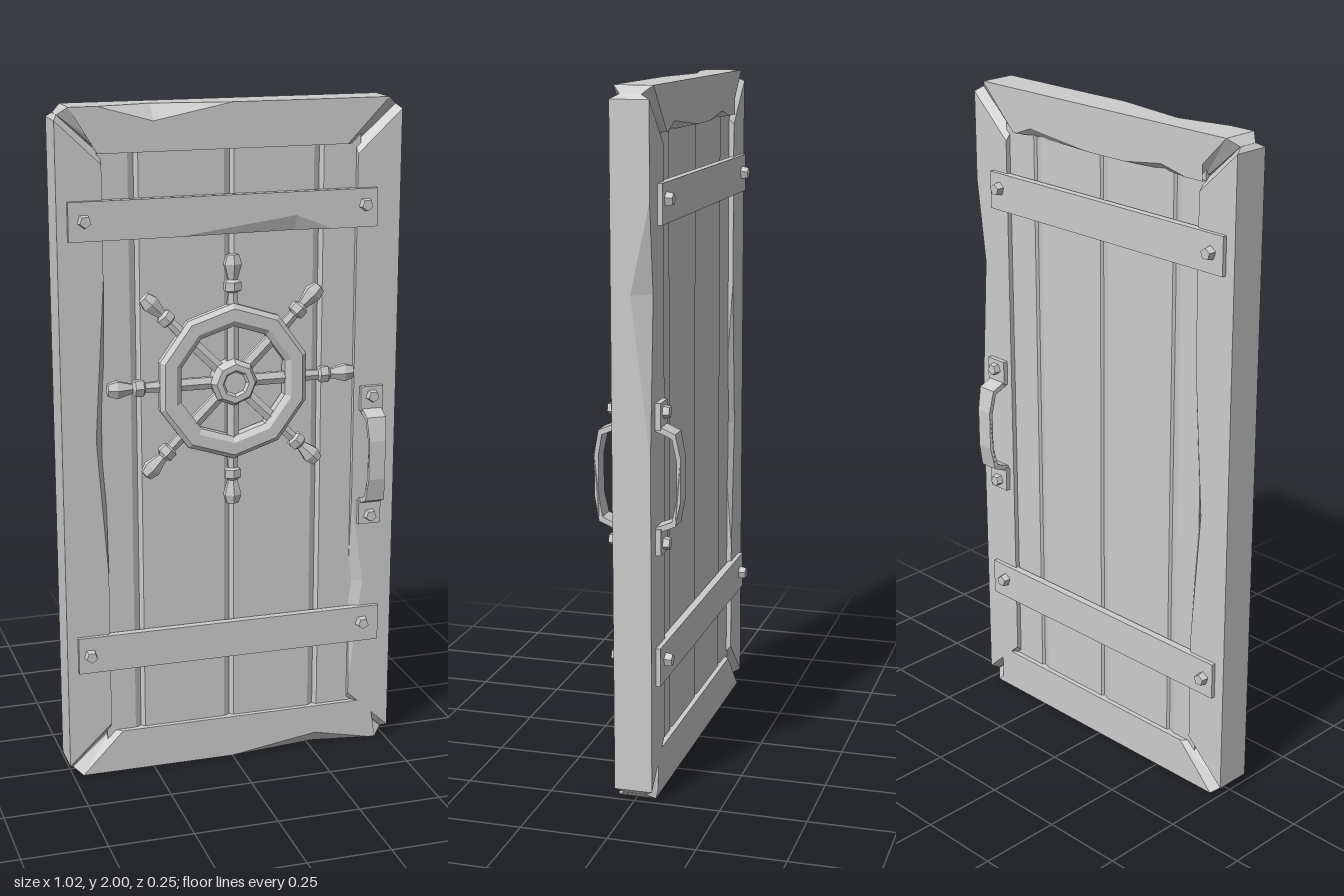
import * as THREE from 'three';

const paint = new THREE.MeshStandardMaterial({ color: 0xcccccc, flatShading: true });
paint.name = 'plain grey';

function part(name, geometry, parent, x = 0, y = 0, z = 0) {
  const mesh = new THREE.Mesh(geometry, paint);
  mesh.name = name;
  mesh.position.set(x, y, z);
  parent.add(mesh);
  return mesh;
}

// Beam along x: outer edge at y = 0, inner edge at y = -w, depth z = -d..d.
// end: where the faces stop (outer, inner) and where the bevelled tip stops.
// chips: [corner, start, middle, end, cut on previous face, cut on next face];
// corners: 0 outer front, 1 inner front, 2 inner back, 3 outer back.
function beam(w, d, end, chips = []) {
  const ring = (u, drop, dz) => {
    const corners = [[-drop, dz], [-w, dz], [-w, -dz], [-drop, -dz]];
    const out = [];
    corners.forEach((c, k) => {
      const slide = (to, cut) => {
        const len = Math.hypot(to[0] - c[0], to[1] - c[1]);
        const t = cut / len;
        const x = typeof u === 'number' ? u : (k === 0 || k === 3 ? u[0] : u[1]);
        return [x, c[0] + (to[0] - c[0]) * t, c[1] + (to[1] - c[1]) * t];
      };
      let a = 0, b = 0;
      if (typeof u === 'number') {
        for (const [corner, s, m, e, ca, cb] of chips) {
          if (corner !== k || u <= s || u >= e) continue;
          const f = u < m ? (u - s) / (m - s) : (e - u) / (e - m);
          a += ca * f;
          b += cb * f;
        }
      }
      out.push(slide(corners[(k + 3) % 4], a), slide(corners[(k + 1) % 4], b));
    });
    return out;
  };
  const { face, tip, drop, tipZ } = end;
  const neg = (p) => p.map((v) => -v);
  const cuts = [...new Set(chips.flatMap((c) => c.slice(1, 4)))].sort((a, b) => a - b);
  const rings = [
    ring(neg(tip), drop, tipZ), ring(neg(face), 0, d),
    ...cuts.map((u) => ring(u, 0, d)),
    ring(face, 0, d), ring(tip, drop, tipZ),
  ];
  const pos = [];
  const tri = (...pts) => pts.forEach((p) => pos.push(...p));
  for (let i = 0; i + 1 < rings.length; i++) {
    for (let j = 0; j < 8; j++) {
      const k = (j + 1) % 8, p = rings[i], q = rings[i + 1];
      tri(p[j], p[k], q[k]);
      tri(p[j], q[k], q[j]);
    }
  }
  const first = rings[0], last = rings[rings.length - 1];
  for (const [j, k] of [[2, 4], [4, 6]]) {
    tri(last[0], last[j], last[k]);
    tri(first[0], first[k], first[j]);
  }
  const g = new THREE.BufferGeometry();
  g.setAttribute('position', new THREE.Float32BufferAttribute(pos, 3));
  g.computeVertexNormals();
  return g;
}

function addFrame(door) {
  const rail = { face: [0.47, 0.345], tip: [0.497, 0.375], drop: 0.022, tipZ: 0.03 };
  const stile = { face: [0.965, 0.84], tip: [0.978, 0.868], drop: 0.012, tipZ: 0.03 };
  part('topRail', beam(0.13, 0.055, rail, [
    [0, -0.39, -0.23, 0, 0.035, 0.045],
    [2, 0.03, 0.27, 0.335, 0.02, 0.025],
    [2, -0.33, -0.24, -0.1, 0.02, 0.02],
  ]), door, 0, 2, 0);
  part('bottomRail', beam(0.13, 0.055, rail, [
    [0, -0.45, -0.27, 0, 0.03, 0.04],
  ]), door).rotation.z = Math.PI;
  part('leftStile', beam(0.133, 0.055, stile, [
    [3, -0.7, -0.45, 0, 0.03, 0.055],
    [1, 0.2, 0.47, 0.8, 0.04, 0.02],
  ]), door, 0.51, 1, 0).rotation.z = -Math.PI / 2;
  part('rightStile', beam(0.13, 0.055, stile, [
    [1, -0.37, 0.05, 0.52, 0.03, 0.03],
    [2, -0.5, -0.1, 0.35, 0.03, 0.03],
  ]), door, -0.51, 1, 0).rotation.z = Math.PI / 2;
}

// Plank panel: one cross-section with shallow grooves, extruded upwards
function addPlanks(door) {
  const seams = [-0.28, 0, 0.27], d = 0.04;
  const s = new THREE.Shape();
  s.moveTo(-0.39, -d);
  for (const x of seams) {
    s.lineTo(x - 0.022, -d);
    s.lineTo(x - 0.003, -d + 0.01);
    s.lineTo(x + 0.008, -d);
  }
  s.lineTo(0.39, -d);
  s.lineTo(0.39, d);
  for (const x of [...seams].reverse()) {
    s.lineTo(x + 0.005, d);
    s.lineTo(x, d - 0.008);
    s.lineTo(x - 0.025, d);
  }
  s.lineTo(-0.39, d);
  const g = new THREE.ExtrudeGeometry(s, { depth: 1.8, bevelEnabled: false });
  g.rotateX(-Math.PI / 2);
  part('planks', g, door, 0, 0.1, 0);
}

function bolt(parent, x, y, z, side) {
  const g = new THREE.CylinderGeometry(0.017, 0.021, 0.024, 5);
  g.rotateX(side * Math.PI / 2);
  part('bolt', g, parent, x, y, z * side);
}

// Cross bars with bolts on both faces
function addBars(door) {
  const bars = [
    { y: 1.742, x0: -0.48, x1: 0.435, bolts: [[-0.435, 1.688], [0.397, 1.696]] },
    { y: 0.449, x0: -0.478, x1: 0.466, bolts: [[-0.443, 0.393], [0.412, 0.4]] },
  ];
  bars.forEach(({ y, x0, x1, bolts }, i) => {
    const h = (x1 - x0) / 2;
    const end = { face: [h, h], tip: [h, h], drop: 0, tipZ: 0.0115 };
    for (const side of [1, -1]) {
      const chips = i === 0 && side === 1 ? [[1, -0.14, 0.21, 0.32, 0.045, 0.015]] : [];
      part('crossBar', beam(0.112, 0.0115, end, chips), door, (x0 + x1) / 2, y, 0.0565 * side);
      for (const [bx, by] of bolts) bolt(door, bx, by, 0.077, side);
    }
  });
}

function lathe(points, sides) {
  return new THREE.LatheGeometry(points.map(([r, y]) => new THREE.Vector2(r, y)), sides);
}

// Ship's wheel on the front
function addWheel(door) {
  const wheel = new THREE.Group();
  wheel.name = 'wheel';
  wheel.position.set(-0.005, 1.2, 0);
  door.add(wheel);
  const rim = lathe([[0.165, 0.05], [0.225, 0.05], [0.232, 0.06], [0.232, 0.08],
    [0.218, 0.091], [0.182, 0.091], [0.165, 0.08], [0.165, 0.05]], 10);
  part('rim', rim.rotateX(Math.PI / 2), wheel);
  const hub = lathe([[0, 0.04], [0.066, 0.04], [0.07, 0.085], [0.058, 0.105],
    [0.04, 0.105], [0.033, 0.096], [0, 0.096]], 8);
  part('hub', hub.rotateX(Math.PI / 2), wheel);
  const spoke = lathe([[0.02, 0.04], [0.02, 0.2], [0.016, 0.262], [0.027, 0.268],
    [0.027, 0.292], [0.016, 0.3], [0.018, 0.308], [0.029, 0.345], [0.02, 0.372], [0, 0.376]], 6);
  spoke.scale(1, 1, 0.7);
  for (let i = 0; i < 8; i++) {
    part('spoke', spoke, wheel, 0, 0, 0.068).rotation.z = i * Math.PI / 4;
  }
}

// Pull handle: bent strap between two bolted plates
function addHandle(door, side) {
  const handle = new THREE.Group();
  handle.name = side > 0 ? 'frontHandle' : 'backHandle';
  handle.position.set(0.43, 0.935, 0);
  if (side < 0) handle.rotation.y = Math.PI;
  door.add(handle);
  const outer = [[0.055, 0.155], [0.075, 0.145], [0.11, 0.13], [0.124, 0.06]];
  const inner = [[0.112, 0.055], [0.1, 0.117], [0.07, 0.13], [0.055, 0.135]];
  const flip = (list) => [...list].reverse().map(([z, y]) => [z, -y]);
  const outline = [...outer, ...flip(outer), ...flip(inner), ...inner];
  const s = new THREE.Shape(outline.map(([z, y]) => new THREE.Vector2(z, y)));
  const strap = new THREE.ExtrudeGeometry(s, { depth: 0.06, bevelEnabled: false });
  strap.translate(0, 0, -0.03);
  strap.rotateY(-Math.PI / 2);
  // Narrow the grip towards its middle
  const p = strap.attributes.position;
  for (let i = 0; i < p.count; i++) {
    if (Math.abs(p.getY(i)) < 0.08) p.setX(i, p.getX(i) * 0.85);
  }
  part('grip', strap, handle);
  for (const end of [1, -1]) {
    part('plate', new THREE.BoxGeometry(0.07, 0.075, 0.016), handle, 0, end * 0.178, 0.062);
    bolt(handle, 0, end * 0.187, 0.076, 1);
  }
}

export function createModel() {
  const door = new THREE.Group();
  door.name = 'door';
  addFrame(door);
  addPlanks(door);
  addBars(door);
  addWheel(door);
  addHandle(door, 1);
  addHandle(door, -1);
  return door;
}
